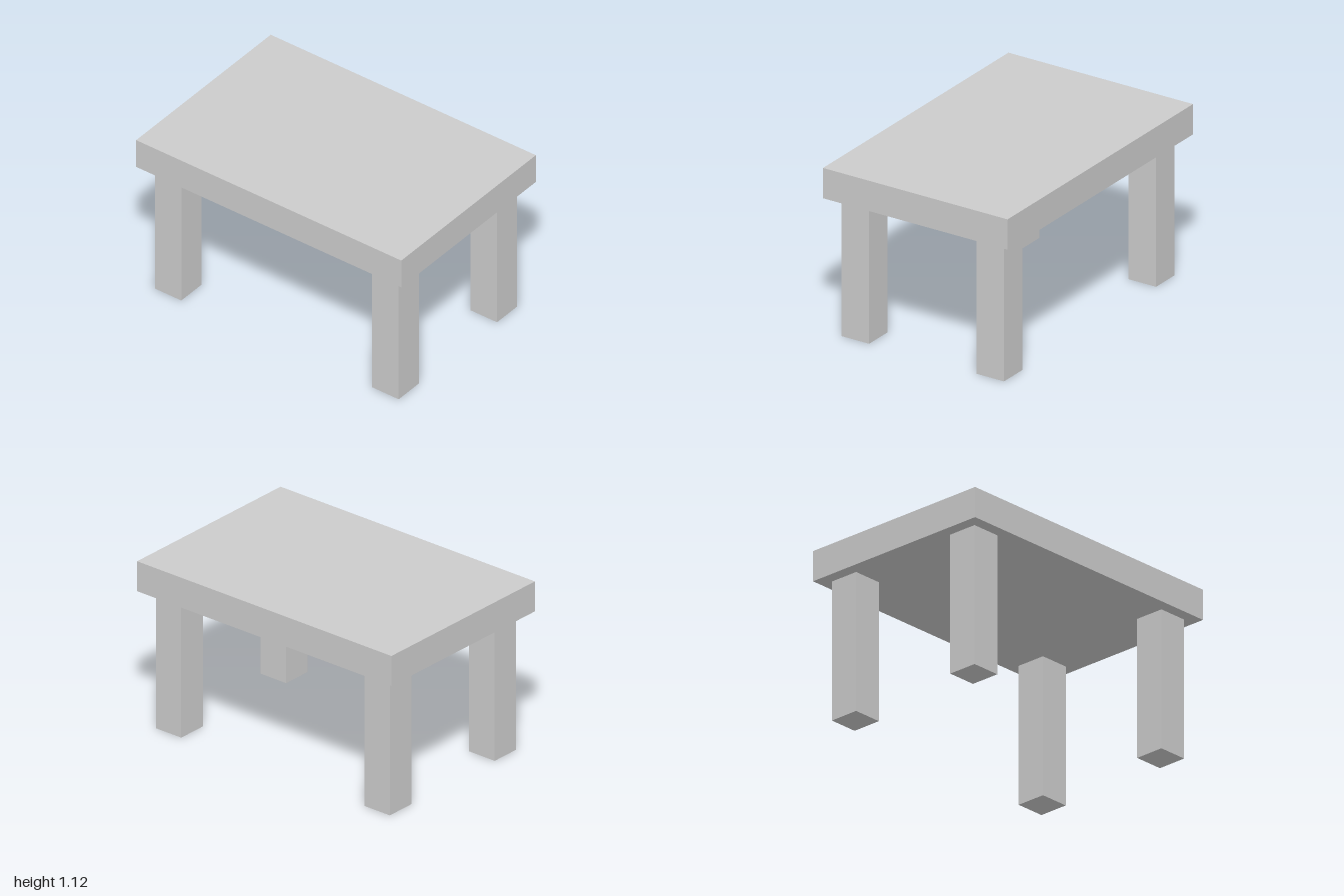
import * as THREE from 'three';

export function createModel() {
  const model = new THREE.Group();
  model.name = 'table';
  const material = new THREE.MeshStandardMaterial({ color: 0xcccccc });

  const legHeight = 0.92;
  const legWidth = 0.2;
  const topThickness = 0.2;

  // Table top
  const top = new THREE.Mesh(new THREE.BoxGeometry(2, topThickness, 1.333), material);
  top.name = 'tableTop';
  top.position.y = legHeight + topThickness / 2;
  model.add(top);

  // Four square legs, inset equally from the edges
  const legGeometry = new THREE.BoxGeometry(legWidth, legHeight, legWidth);
  for (const [side, sx] of [['Left', 1], ['Right', -1]]) {
    for (const [end, sz] of [['front', 1], ['back', -1]]) {
      const leg = new THREE.Mesh(legGeometry, material);
      leg.name = `${end}${side}Leg`;
      leg.position.set(sx * 0.82, legHeight / 2, sz * 0.487);
      model.add(leg);
    }
  }

  return model;
}
